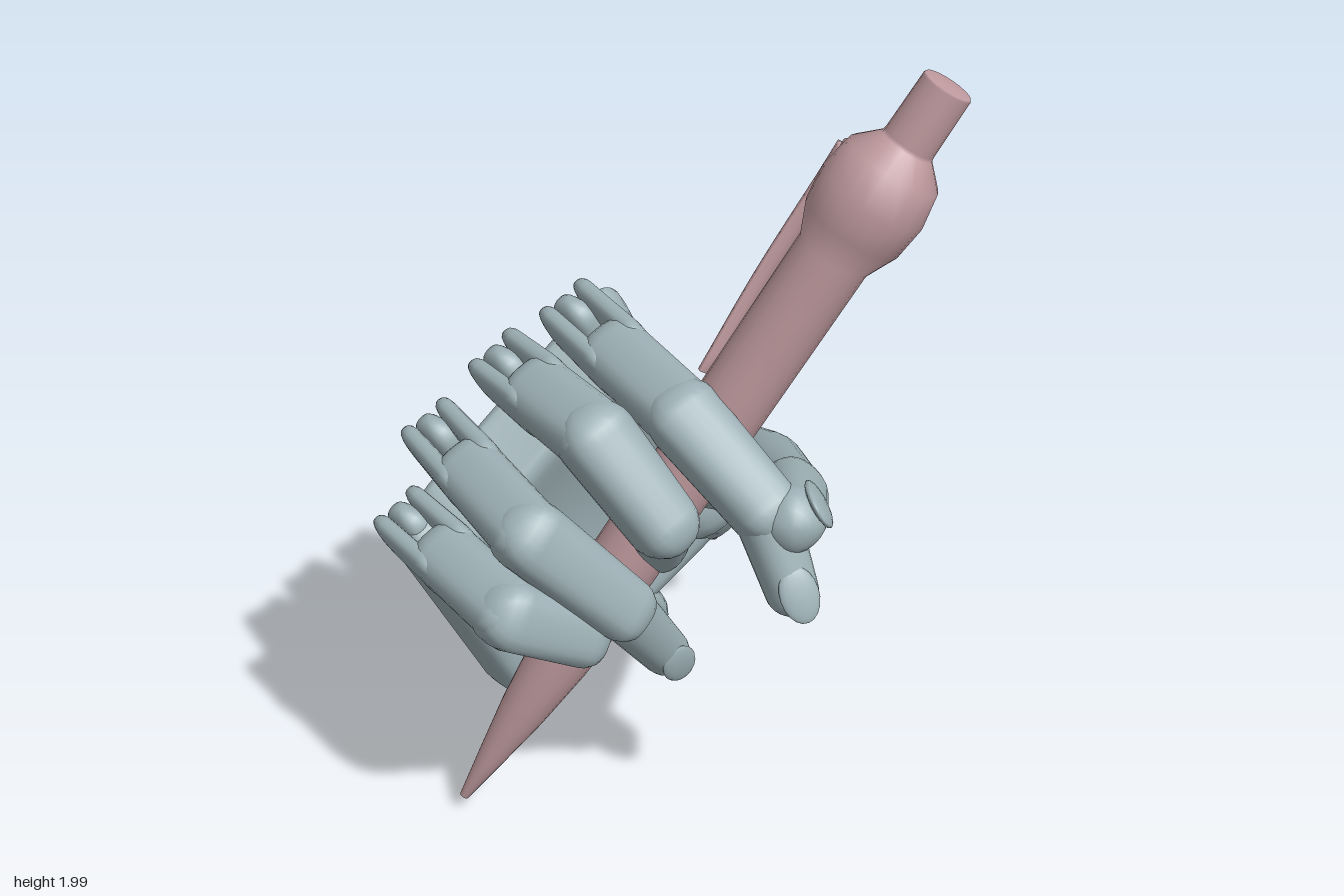
import * as THREE from 'three';
import { mergeVertices } from 'three/addons/utils/BufferGeometryUtils.js';

const V = (x, y, z) => new THREE.Vector3(x, y, z);
const handMat = new THREE.MeshStandardMaterial({ color: 0x9db0b5 });
const penMat = new THREE.MeshStandardMaterial({ color: 0xbf9a9e });

// Hand directions: across the palm to the thumb side, along the fingers, out of the palm
const across = V(0.79, 0.49, -0.36).normalize();
const along = V(-0.47, 0.85, 0.21).normalize();
const palmOut = across.clone().cross(along).normalize();

function smooth(geo) {
  geo.deleteAttribute('uv');
  geo.deleteAttribute('normal');
  const g = mergeVertices(geo, 1e-5);
  g.computeVertexNormals();
  return g;
}

function mesh(name, geo, mat = handMat) {
  const m = new THREE.Mesh(geo, mat);
  m.name = name;
  return m;
}

function reshape(geo, rule) {
  const pos = geo.attributes.position, p = V();
  for (let i = 0; i < pos.count; i++) {
    p.fromBufferAttribute(pos, i);
    const q = rule(p);
    pos.setXYZ(i, q.x, q.y, q.z);
  }
  return smooth(geo);
}

// Tapered limb from a to b; box = 0 is round, 1 is square with soft corners
function link(name, a, b, ra, rb, { box = 0.7, width = 1, side = across, mat = handMat } = {}) {
  const y = b.clone().sub(a).normalize();
  const z = side.clone().cross(y).normalize();
  const x = y.clone().cross(z);
  const geo = new THREE.CapsuleGeometry(1, 1, 6, 24);
  return mesh(name, reshape(geo, p => {
    const end = p.y > 0, r = end ? rb : ra;
    const h = Math.hypot(p.x, p.z);
    // The poles lie on the axis and need no squaring
    const k = h < 1e-6 ? 1 : Math.pow((p.x / h) ** 4 + (p.z / h) ** 4, -0.25 * box);
    return (end ? b : a).clone()
      .addScaledVector(y, (p.y - (end ? 0.5 : -0.5)) * r)
      .addScaledVector(x, p.x * r * k * width)
      .addScaledVector(z, p.z * r * k);
  }), mat);
}

// Flat round tab whose axis runs along the given direction
function tab(name, c, r, t, axis = across) {
  const s = t * 0.3;
  const pts = [[0, -t / 2], [r - s, -t / 2], [r, -t / 2 + s], [r, t / 2 - s], [r - s, t / 2], [0, t / 2]];
  const m = mesh(name, new THREE.LatheGeometry(pts.map(p => new THREE.Vector2(...p)), 28));
  m.position.copy(c);
  m.quaternion.setFromUnitVectors(V(0, 1, 0), axis);
  return m;
}

function nail(a, b, r, out) {
  const dir = b.clone().sub(a).normalize();
  const up = out.clone().addScaledVector(dir, -out.dot(dir)).normalize();
  const m = mesh('nail', new THREE.SphereGeometry(1, 16, 10));
  m.scale.set(r * 0.75, r * 1.1, r * 0.2);
  m.quaternion.setFromRotationMatrix(new THREE.Matrix4().makeBasis(dir.clone().cross(up), dir, up));
  m.position.copy(b).addScaledVector(up, r * 0.9);
  return m;
}

function makePalm() {
  const g = new THREE.Group();
  g.name = 'palm';
  // Corners: [wrist little side, wrist thumb side, knuckle little side, knuckle thumb side]
  const back = [V(-0.27, 0.07, -0.37), V(0.4, 0.41, -0.6), V(-0.6, 0.81, -0.14), V(-0.01, 1.3, -0.31)];
  const front = [V(-0.21, 0.08, -0.17), V(0.43, 0.48, -0.38), V(-0.5, 0.68, 0), V(0.03, 1.15, -0.12)];
  const bilinear = (c, u, v) => c[0].clone().lerp(c[1], u).lerp(c[2].clone().lerp(c[3], u), v);
  const r = 0.1, lim = 0.5 - r;
  g.add(mesh('palmShell', reshape(new THREE.BoxGeometry(1, 1, 1, 28, 28, 14), p => {
    const inner = p.clone().clampScalar(-lim, lim);
    const q = p.clone().sub(inner).setLength(r).add(inner);
    const w = q.z + 0.5;
    const hump = (1 - 4 * q.x * q.x) * (1 - 4 * q.y * q.y);
    return bilinear(back, q.x + 0.5, q.y + 0.5).lerp(bilinear(front, q.x + 0.5, q.y + 0.5), w)
      .addScaledVector(palmOut, -hump * (0.07 * w + 0.02 * (1 - w)));
  })));
  // Bar along the little-finger edge
  g.add(link('littleFingerBar', V(-0.31, 0.22, -0.2), V(-0.57, 0.75, -0.06), 0.085, 0.085, { box: 0.9, width: 0.8 }));
  // Wrist hinge tabs
  [[0.06, 0.25, -0.44, 0.165, 0.06], [-0.2, 0.09, -0.36, 0.085, 0.07], [-0.09, 0.14, -0.38, 0.08, 0.05],
    [0.3, 0.38, -0.5, 0.085, 0.05], [0.38, 0.44, -0.49, 0.095, 0.09]]
    .forEach(([x, y, z, rad, t]) => g.add(tab('wristTab', V(x, y, z), rad, t)));
  return g;
}

// Finger with a forked knuckle, middle segment and tip
function makeFinger(name, K, P, D, T, r, nailOut) {
  const g = new THREE.Group();
  g.name = name;
  const neck = K.clone().lerp(P, 0.4);
  const dir = P.clone().sub(K).normalize();
  const side = across.clone().addScaledVector(dir, -across.dot(dir)).normalize();
  for (const s of [-1, 1]) {
    const off = side.clone().multiplyScalar(s * r * 0.57);
    g.add(link('knuckleFork', K.clone().add(off), neck.clone().add(off), r * 0.72, r * 0.84, { width: 0.38, side }));
  }
  g.add(tab('knucklePin', K, r * 0.4, r * 1.3, side));
  g.add(link('knuckleTongue', K.clone().addScaledVector(along, -0.25), K, r * 0.8, r * 0.65, { width: 0.6 }));
  g.add(link('lowerSegment', neck, P, r * 0.88, r * 0.9));
  g.add(link('middleSegment', P, D, r * 0.94, r * 0.85));
  g.add(link('fingertip', D, T, r * 0.78, r * 0.64, { box: 0.35 }));
  if (nailOut) g.add(nail(D, T, r * 0.67, nailOut));
  return g;
}

function makeThumb() {
  const g = new THREE.Group();
  g.name = 'thumb';
  const base = V(0.26, 0.67, -0.33), mid = V(0.315, 0.805, 0), joint = V(0.265, 0.94, 0.31), tip = V(0.195, 0.995, 0.5);
  // Flared mount rising from the palm's thumb corner
  g.add(link('thumbMount', V(0.3, 0.48, -0.43), V(0.25, 0.57, -0.37), 0.11, 0.15, { box: 0.3 }));
  g.add(link('lowerSegment', base, mid, 0.125, 0.11, { box: 0.15 }));
  g.add(link('middleSegment', mid, joint, 0.11, 0.083, { box: 0.15 }));
  g.add(link('thumbTip', joint, tip, 0.086, 0.08, { box: 0.35 }));
  g.add(nail(joint, tip, 0.082, V(0.8, 0.5, 0.2)));
  return g;
}

function makePen() {
  const g = new THREE.Group();
  g.name = 'pen';
  const tip = V(-0.53, 0.05, 0.1), top = V(0.62, 1.97, 0.31);
  const profile = [[0, 0], [0.012, 0], [0.035, 0.14], [0.06, 0.3], [0.08, 0.48], [0.088, 0.62], [0.09, 1.2], [0.093, 1.76],
    [0.128, 1.84], [0.138, 1.93], [0.122, 2.02], [0.068, 2.075], [0.066, 2.085], [0.064, 2.24], [0.061, 2.245], [0, 2.248]];
  const body = mesh('penBody', new THREE.LatheGeometry(profile.map(p => new THREE.Vector2(...p)), 20), penMat);
  body.position.copy(tip);
  body.quaternion.setFromUnitVectors(V(0, 1, 0), top.clone().sub(tip).normalize());
  g.add(body);
  // Springy pocket clip behind the barrel
  const wide = V(0.86, -0.51, 0);
  const curve = new THREE.CatmullRomCurve3([V(0.465, 1.75, 0.105), V(0.42, 1.66, 0.083), V(0.27, 1.42, 0.07), V(0.12, 1.18, 0.08)]);
  const strip = new THREE.BoxGeometry(1, 1, 1, 2, 16, 1);
  g.add(mesh('clip', reshape(strip, p => curve.getPoint(0.5 - p.y)
    .addScaledVector(wide, p.x * 0.06 * (0.8 + 0.4 * p.y)).add(V(0, 0, p.z * 0.014))), penMat));
  g.add(link('clipArm', V(0.47, 1.74, 0.2), V(0.465, 1.75, 0.112), 0.05, 0.018, { width: 1.4, side: wide, mat: penMat }));
  return g;
}

export function createModel() {
  const model = new THREE.Group();
  model.name = 'handHoldingPen';
  model.add(
    makePalm(),
    makeFinger('indexFinger', V(-0.11, 1.21, -0.24), V(0.015, 1.16, 0.24), V(0.14, 1.01, 0.46), V(0.185, 0.82, 0.54), 0.098, V(0, 0.3, 1)),
    makeFinger('middleFinger', V(-0.31, 1.13, -0.18), V(-0.2, 1.13, 0.22), V(-0.07, 0.93, 0.33), V(-0.03, 0.78, 0.2), 0.1),
    makeFinger('ringFinger', V(-0.5, 0.99, -0.14), V(-0.4, 0.96, 0.33), V(-0.18, 0.72, 0.34), V(-0.03, 0.48, 0.22), 0.097, V(0.3, 0, 1)),
    makeFinger('littleFinger', V(-0.6, 0.8, -0.06), V(-0.46, 0.765, 0.35), V(-0.28, 0.65, 0.32), V(-0.19, 0.6, 0.17), 0.095),
    makeThumb(),
    makePen()
  );
  return model;
}
